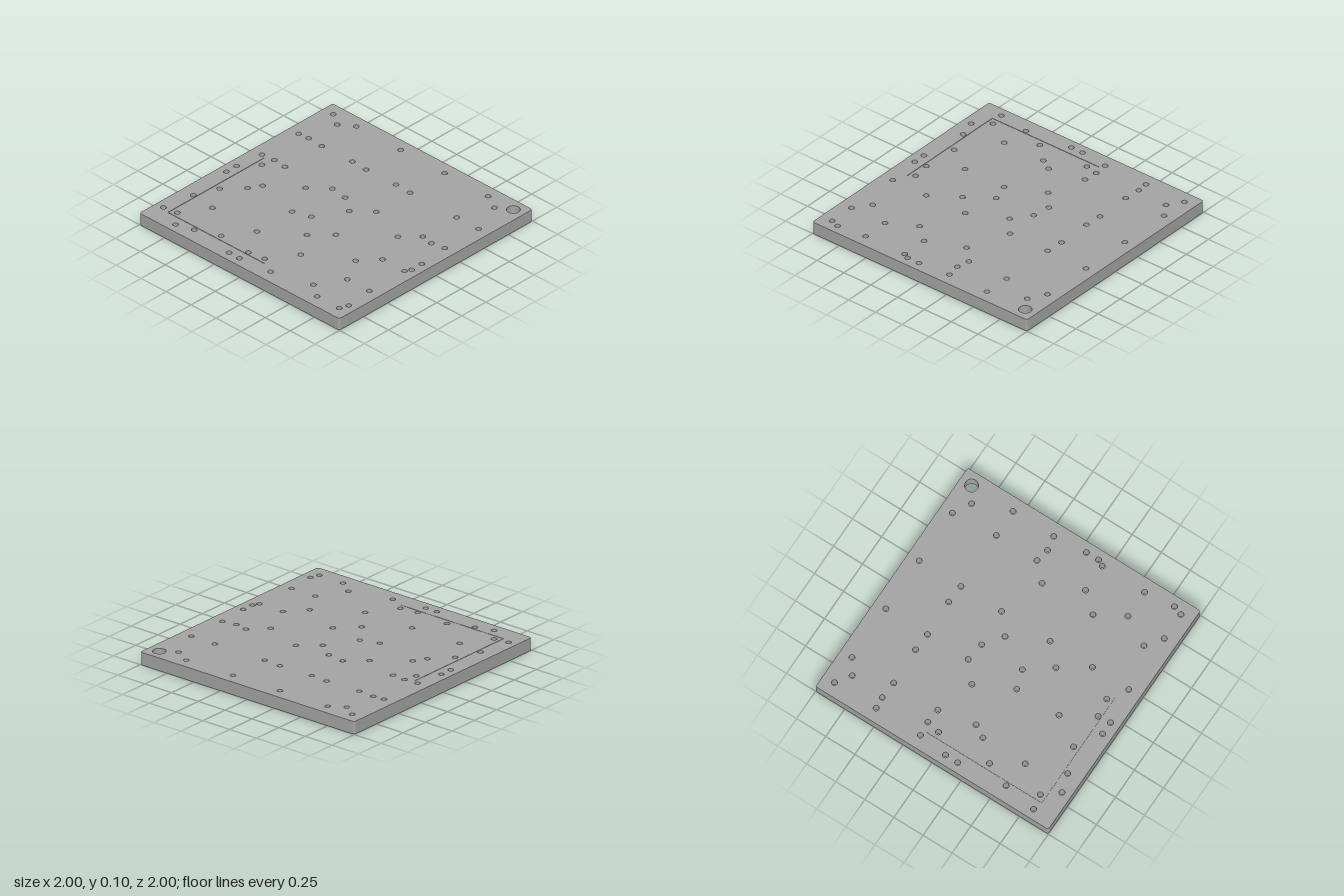
import * as THREE from 'three';
import { toCreasedNormals } from 'three/addons/utils/BufferGeometryUtils.js';

const HEIGHT = 0.1;
const GROOVE_DEPTH = 0.004;
const HOLE_RADIUS = 0.0215;

// Drilled holes, one row per depth: [z, [x, x, ...]]
const HOLE_ROWS = [
  [-0.903, [-0.9, -0.67, -0.225, 0.214, 0.65]],
  [-0.826, [-0.786, 0.786]],
  [-0.553, [-0.808, -0.37, 0.066]],
  [-0.545, [-0.9, -0.67, -0.225, 0.214, 0.68, 0.9]],
  [-0.195, [-0.225, 0.214, 0.68, 0.9]],
  [-0.175, [-0.786, -0.078, 0.786]],
  [-0.165, [-0.9, -0.67]],
  [-0.069, [-0.808, -0.37, 0.066, 0.553]],
  [0.069, [-0.928, 0.925]],
  [0.126, [-0.613]],
  [0.174, [-0.928, -0.078, 0.925]],
  [0.222, [-0.67, -0.225, 0.214, 0.68, 0.9]],
  [0.369, [-0.808, 0.066, 0.553]],
  [0.562, [-0.885]],
  [0.586, [-0.67, -0.225, 0.214, 0.68, 0.9]],
  [0.806, [-0.808, -0.37, 0.066, 0.553]],
  [0.826, [-0.928, -0.078, 0.925]],
  [0.883, [-0.565]],
  [0.898, [0.214, 0.68, 0.9]],
  [0.927, [-0.709, -0.174, -0.07]],
];

// Square outline with small rounded corners
function plateOutline(half, r) {
  const s = new THREE.Shape();
  const c = half - r;
  [[c, c], [-c, c], [-c, -c], [c, -c]].forEach(([x, y], i) => {
    s.absarc(x, y, r, (i * Math.PI) / 2, ((i + 1) * Math.PI) / 2, false);
  });
  s.closePath();
  return s;
}

function roundHole(x, z, r) {
  return new THREE.Path().absarc(x, -z, r, 0, Math.PI * 2, true);
}

// L-shaped scribed line near the front corner
function grooveOutline() {
  const x0 = -0.86, x1 = -0.856, z0 = 0.854, z1 = 0.85;
  const endX = 0.11, endZ = -0.144;
  return [[x0, z0], [endX, z0], [endX, z1], [x1, z1], [x1, endZ], [x0, endZ]]
    .map(([x, z]) => new THREE.Vector2(x, -z));
}

// Extrude a plan-view shape upwards from y = 0
function slab(name, shape, height, material) {
  const geo = new THREE.ExtrudeGeometry(shape, { depth: height, bevelEnabled: false, curveSegments: 12 });
  geo.rotateX(-Math.PI / 2);
  const mesh = new THREE.Mesh(toCreasedNormals(geo, Math.PI / 5), material);
  mesh.name = name;
  return mesh;
}

export function createModel() {
  const group = new THREE.Group();
  group.name = 'drilledPlate';
  const material = new THREE.MeshStandardMaterial({ color: 0xa5a5a5 });

  // Plate with its holes and the groove cut out
  const plate = plateOutline(1, 0.018);
  for (const [z, xs] of HOLE_ROWS) {
    for (const x of xs) plate.holes.push(roundHole(x, z, HOLE_RADIUS));
  }
  plate.holes.push(roundHole(0.902, -0.903, 0.05));
  plate.holes.push(new THREE.Path(grooveOutline()));
  group.add(slab('plate', plate, HEIGHT, material));

  // Fill below the groove so that it stays shallow
  group.add(slab('grooveFloor', new THREE.Shape(grooveOutline()), HEIGHT - GROOVE_DEPTH, material));

  return group;
}
